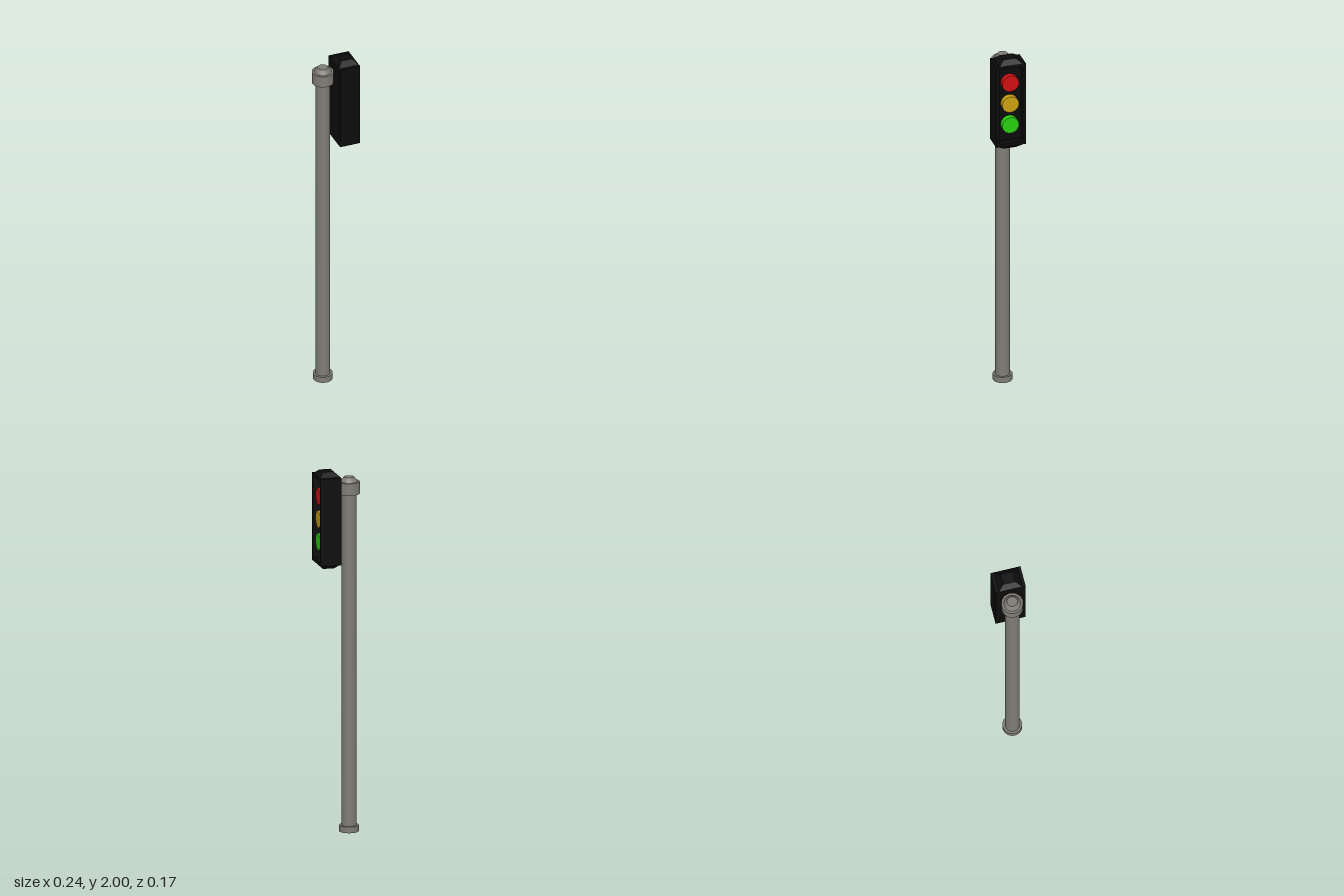
import * as THREE from 'three';

const paint = (color, flatShading = false) => new THREE.MeshStandardMaterial({ color, flatShading });

function part(name, geometry, material, x, y, z) {
  const mesh = new THREE.Mesh(geometry, material);
  mesh.name = name;
  mesh.position.set(x, y, z);
  return mesh;
}

function rectangle(PathType, halfW, halfH) {
  return new PathType([
    [-halfW, -halfH], [halfW, -halfH], [halfW, halfH], [-halfW, halfH],
  ].map(([x, y]) => new THREE.Vector2(x, y)));
}

function createPost() {
  const post = new THREE.Group();
  post.name = 'post';
  post.position.set(-0.061, 0, -0.007);
  const metal = paint(0x7f7d75);

  // Each section: name, bottom radius, top radius, bottom height, top height
  const sections = [
    ['postBase', 0.053, 0.053, 0, 0.034],
    ['pole', 0.04, 0.04, 0.034, 1.87],
    ['capCollar', 0.059, 0.059, 1.868, 1.934],
    ['capTop', 0.046, 0.028, 1.934, 1.96],
  ];
  for (const [name, r0, r1, y0, y1] of sections) {
    const geometry = new THREE.CylinderGeometry(r1, r0, y1 - y0, 40);
    post.add(part(name, geometry, metal, 0, (y0 + y1) / 2, 0));
  }
  return post;
}

function createSignalHead() {
  const head = new THREE.Group();
  head.name = 'signalHead';
  const black = paint(0x0c0c0c, true);
  const back = 0.003, front = 0.119, recess = 0.04;
  const midX = (back + front) / 2, midY = 1.733, halfH = 0.242, halfW = 0.083;

  // Solid rear body
  const bodyDepth = front - back - recess;
  head.add(part('housingBody', new THREE.BoxGeometry(bodyDepth, halfH * 2, halfW * 2),
    black, back + bodyDepth / 2, midY, 0));

  // Rim around the recessed lamp panel
  const rimShape = rectangle(THREE.Shape, halfW, halfH);
  rimShape.holes.push(rectangle(THREE.Path, 0.067, 0.225));
  const rim = new THREE.ExtrudeGeometry(rimShape, { depth: recess, bevelEnabled: false });
  rim.rotateY(Math.PI / 2);
  head.add(part('housingRim', rim, black, front - recess, midY, 0));

  // Tapered caps above and below
  for (const side of [1, -1]) {
    const cap = new THREE.CylinderGeometry(0.52 * Math.SQRT2, Math.SQRT2, 0.025, 4);
    cap.rotateY(Math.PI / 4);
    cap.scale((front - back) / 2, 1, 0.066);
    if (side < 0) cap.rotateX(Math.PI);
    head.add(part(side > 0 ? 'upperCap' : 'lowerCap', cap, black,
      midX, midY + side * (halfH + 0.0125), 0));
  }

  // Round lamps standing out from the recessed panel
  const lamps = [['redLamp', 0xd01010, 1.86], ['amberLamp', 0xcca010, 1.735], ['greenLamp', 0x28d010, 1.61]];
  for (const [name, color, y] of lamps) {
    const lamp = new THREE.CylinderGeometry(0.047, 0.047, 0.032, 32);
    lamp.rotateZ(-Math.PI / 2);
    head.add(part(name, lamp, paint(color), 0.094, y, 0));
  }
  return head;
}

export function createModel() {
  const model = new THREE.Group();
  model.name = 'trafficLight';
  model.add(createPost(), createSignalHead());
  return model;
}
